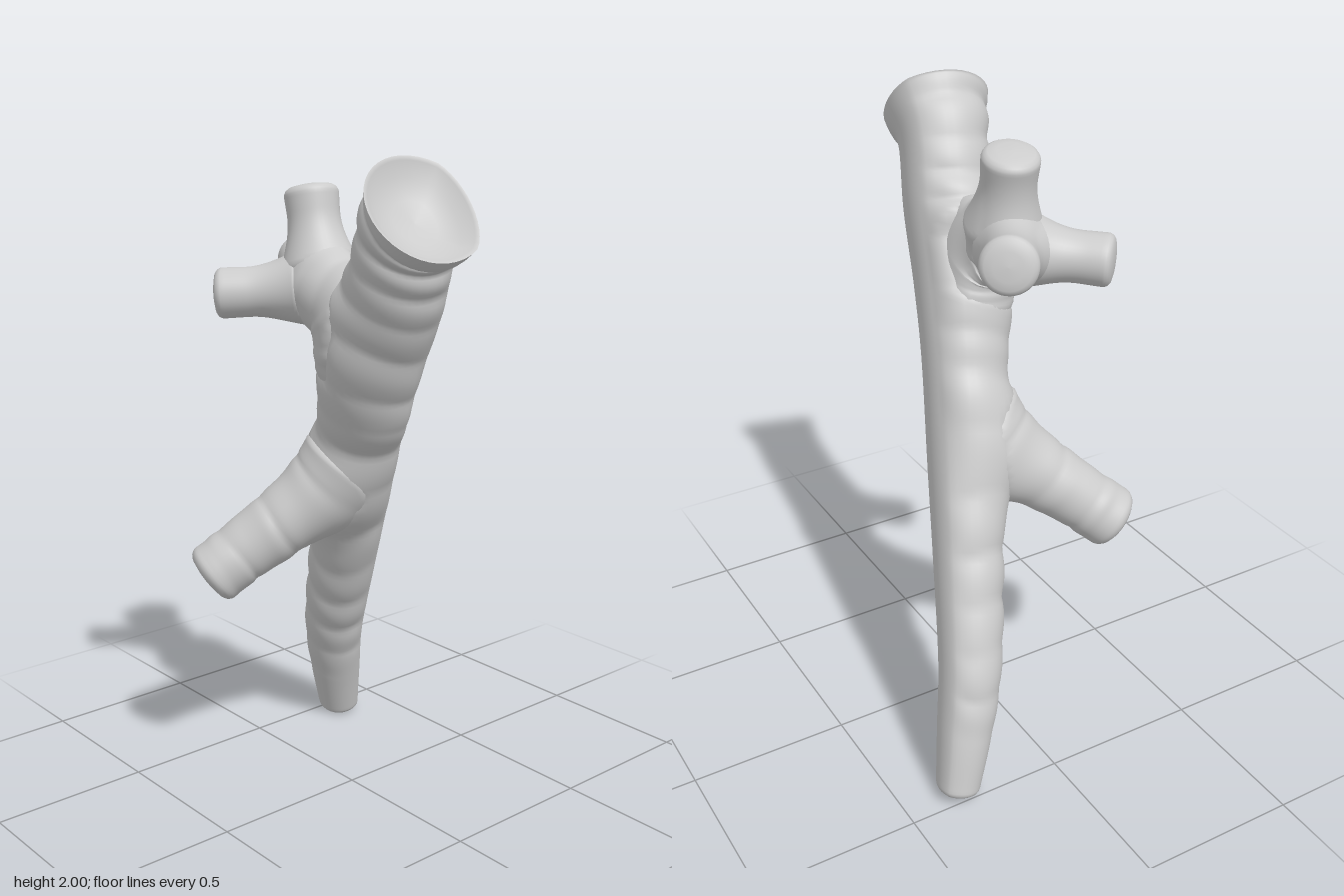
import * as THREE from 'three';

const material = new THREE.MeshStandardMaterial({ color: 0xcccccc, side: THREE.DoubleSide });
const SIDES = 40;
const BLEND = 0.13;

// End profiles: [radius scale, offset along the axis in radii]
const ROUND = [[0.98, 0.08], [0.92, 0.18], [0.8, 0.26], [0.5, 0.32], [0.001, 0.34]];
const DISH = [[1, 0], [0.93, -0.02], [0.75, -0.2], [0.4, -0.32], [0.001, -0.36]];

// Each limb follows [x, y, z, radius] stations
const LIMBS = [
  // Long main tube with a flat back wall and a flared, dished upper end
  { name: 'mainTube', rows: 150, rings: 17, ridge: 0.045, ringStart: 0.1, flat: 0.84, end: DISH, stations: [
    [-0.455, 0.036, -0.325, 0.075], [-0.42, 0.2, -0.283, 0.092], [-0.363, 0.4, -0.23, 0.106],
    [-0.24, 0.68, -0.165, 0.117], [-0.13, 0.93, -0.108, 0.128], [0, 1.22, -0.045, 0.135],
    [0.115, 1.42, 0.002, 0.143], [0.225, 1.61, 0.038, 0.15], [0.316, 1.789, 0.072, 0.15], [0.398, 1.868, 0.093, 0.179]] },
  // Lower front branch
  { name: 'lowerBranch', rows: 60, rings: 4, ridge: 0.03, stations: [
    [-0.05, 1.12, -0.075, 0.095], [-0.11, 0.99, 0.005, 0.115], [-0.185, 0.87, 0.125, 0.108],
    [-0.25, 0.78, 0.23, 0.098], [-0.296, 0.71, 0.312, 0.099]] },
  // Upper side stem, peeling away gradually from the main tube
  { name: 'upperStem', rows: 50, rings: 5, ridge: 0.025, flat: 0.84, stations: [
    [0.05, 1.27, -0.03, 0.11], [0.065, 1.43, 0.015, 0.126], [0.035, 1.535, 0.033, 0.124],
    [-0.035, 1.595, 0.04, 0.108], [-0.12, 1.615, 0.035, 0.09]] },
  // Three stubs fanning out from the stem
  { name: 'topStub', rows: 30, stations: [
    [-0.08, 1.58, 0.035, 0.075], [-0.11, 1.67, 0.03, 0.08], [-0.14, 1.78, 0.025, 0.078], [-0.162, 1.868, 0.02, 0.082]] },
  { name: 'frontStub', rows: 30, stations: [
    [-0.09, 1.6, 0.03, 0.07], [-0.155, 1.59, 0.085, 0.078], [-0.23, 1.585, 0.165, 0.074], [-0.305, 1.58, 0.247, 0.076]] },
  { name: 'backStub', rows: 30, stations: [
    [-0.09, 1.6, 0.055, 0.07], [-0.17, 1.61, 0.025, 0.08], [-0.26, 1.63, -0.035, 0.079], [-0.345, 1.65, -0.095, 0.082]] },
];

const spline = points => new THREE.CatmullRomCurve3(points, false, 'catmullrom');

// Distance from a point to the nearest surface among the other limbs
function gap(p, limb) {
  let best = Infinity;
  for (const other of LIMBS) {
    if (other === limb) continue;
    for (const s of other.samples) best = Math.min(best, p.distanceTo(s.centre) - s.radius);
  }
  return best;
}

// A lofted tube with wavy ridges, swollen near its neighbours so the joints flow together
function buildLimb(limb) {
  const { name, rows, rings = 0, ridge = 0, ringStart = 0, flat = 1, end = ROUND } = limb;
  const sections = [];
  for (const [s, o] of [...ROUND].reverse()) sections.push([0, s, -o]);
  for (let i = 0; i <= rows; i++) sections.push([i / rows, 1, 0]);
  for (const [s, o] of end) sections.push([1, s, o]);

  const pos = [], index = [];
  for (const [t, scale, offset] of sections) {
    const radius = limb.radii.getPoint(t).x;
    const T = limb.curve.getTangent(t);
    const back = new THREE.Vector3(0.2, 0, -1);
    back.addScaledVector(T, -back.dot(T)).normalize();
    const side = new THREE.Vector3().crossVectors(back, T);
    const centre = limb.curve.getPoint(t).addScaledVector(T, offset * radius);
    for (let j = 0; j < SIDES; j++) {
      const a = j / SIDES * Math.PI * 2;
      // Uneven ridges that fade out on the back wall
      const phase = rings * t * Math.PI + 0.6 * Math.sin(t * 23) + 0.3 * Math.sin(a * 2 + t * 9);
      const front = flat < 1 ? THREE.MathUtils.smoothstep(0.75 - Math.sin(a), 0, 0.5) : 1;
      const fade = THREE.MathUtils.smoothstep(t, ringStart, ringStart + 0.08) * (1 - THREE.MathUtils.smoothstep(t, 0.94, 1));
      const uneven = 0.7 + 0.3 * Math.sin(t * 31 + a);
      const r = radius * scale * (1 + ridge * front * fade * uneven * (2 * Math.abs(Math.sin(phase)) - 1.2));
      let b = Math.sin(a);
      if (b > 0.6) b = 0.6 + (b - 0.6) * (flat - 0.6) / 0.4;
      if (b < 0 && flat < 1) b *= 0.93;
      const out = side.clone().multiplyScalar(Math.cos(a)).addScaledVector(back, b);
      const p = centre.clone().addScaledVector(out, r);
      // Fillet towards neighbouring limbs
      const near = Math.max(0, 1 - Math.abs(gap(p, limb)) / BLEND);
      p.addScaledVector(out, front * scale * BLEND / 4 * near * near);
      pos.push(p.x, p.y, p.z);
    }
  }
  for (let i = 0; i < sections.length - 1; i++) {
    for (let j = 0; j < SIDES; j++) {
      const a = i * SIDES + j, b = i * SIDES + (j + 1) % SIDES;
      index.push(a, b, a + SIDES, b, b + SIDES, a + SIDES);
    }
  }
  const geo = new THREE.BufferGeometry();
  geo.setAttribute('position', new THREE.Float32BufferAttribute(pos, 3));
  geo.setIndex(index);
  geo.computeVertexNormals();
  const mesh = new THREE.Mesh(geo, material);
  mesh.name = name;
  return mesh;
}

export function createModel() {
  const group = new THREE.Group();
  group.name = 'branchingAirway';
  // Centre lines first, so that every limb can find its neighbours
  for (const limb of LIMBS) {
    limb.curve = spline(limb.stations.map(s => new THREE.Vector3(s[0], s[1], s[2])));
    limb.radii = spline(limb.stations.map(s => new THREE.Vector3(s[3], 0, 0)));
    limb.samples = Array.from({ length: limb.rows + 1 }, (_, i) => ({
      centre: limb.curve.getPoint(i / limb.rows), radius: limb.radii.getPoint(i / limb.rows).x,
    }));
  }
  for (const limb of LIMBS) group.add(buildLimb(limb));
  return group;
}
